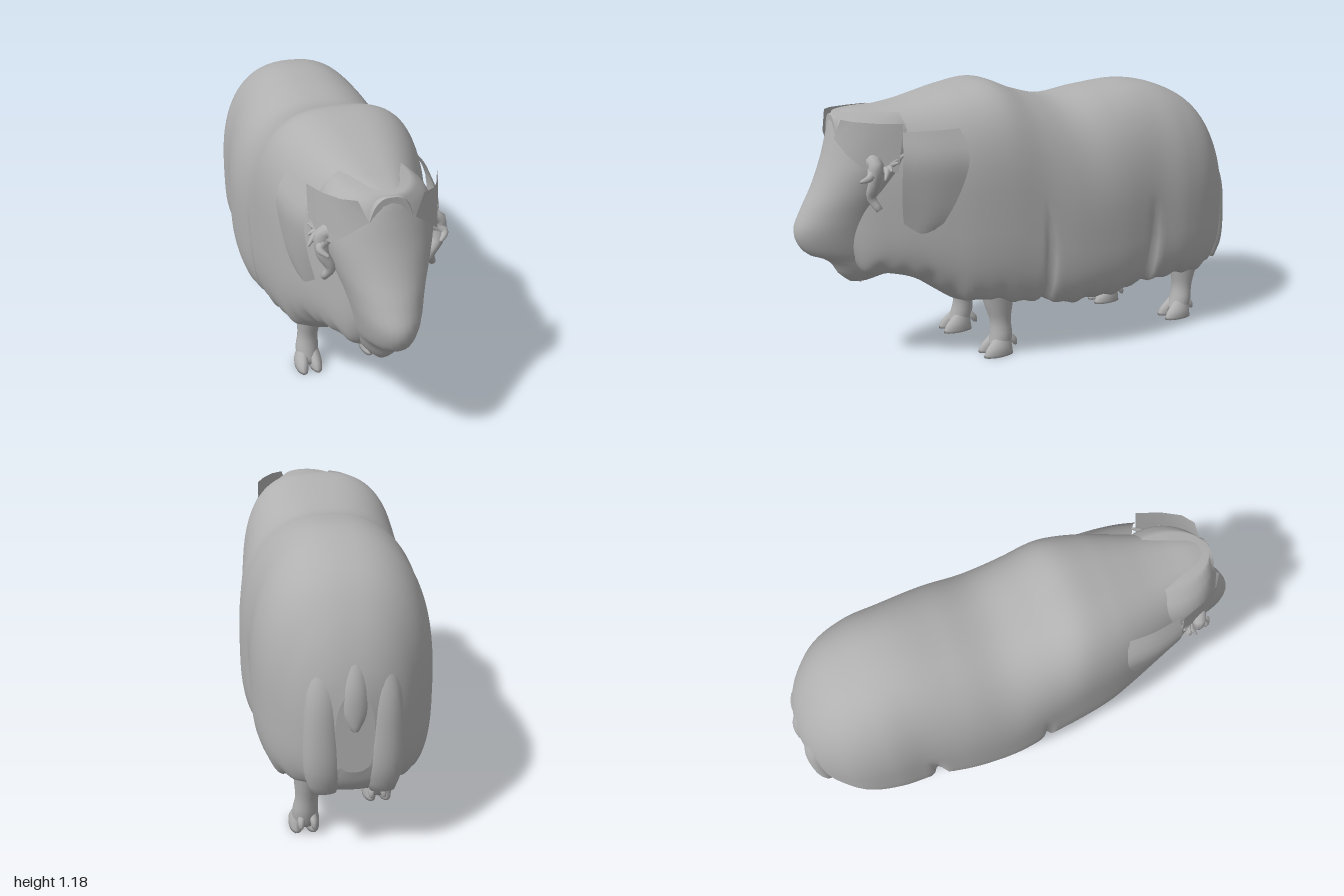
import * as THREE from 'three';

const fur = new THREE.MeshStandardMaterial({ color: 0xb0b0b0, side: THREE.DoubleSide });
fur.name = 'grey fur';
const smooth = THREE.MathUtils.smoothstep;

// Skin a list of rings (arrays of [x,y,z]); closed rings get caps, open ones form a sheet.
function loft(name, rings, closed = true) {
  const n = rings[0].length, pos = rings.flat(2), idx = [];
  for (let i = 0; i < rings.length - 1; i++) {
    for (let j = 0; j < (closed ? n : n - 1); j++) {
      const k = (j + 1) % n, a = i * n + j, b = i * n + k, c = a + n, d = b + n;
      idx.push(a, b, d, a, d, c);
    }
  }
  if (closed) {
    [0, rings.length - 1].forEach((r, side) => {
      const mid = [0, 1, 2].map(q => rings[r].reduce((s, p) => s + p[q], 0) / n);
      const m = pos.length / 3;
      pos.push(...mid);
      for (let j = 0; j < n; j++) {
        const a = r * n + j, b = r * n + (j + 1) % n;
        side ? idx.push(a, b, m) : idx.push(b, a, m);
      }
    });
    // turn the faces outward when the solid comes out inside out
    const P = i => new THREE.Vector3().fromArray(pos, i * 3);
    const o = P(0);
    let volume = 0;
    for (let i = 0; i < idx.length; i += 3) {
      const [a, b, c] = [0, 1, 2].map(q => P(idx[i + q]).sub(o));
      volume += a.dot(b.cross(c));
    }
    if (volume < 0) idx.reverse();
  }
  const g = new THREE.BufferGeometry();
  g.setAttribute('position', new THREE.Float32BufferAttribute(pos, 3));
  g.setIndex(idx);
  g.computeVertexNormals();
  const mesh = new THREE.Mesh(g, fur);
  mesh.name = name;
  return mesh;
}

// Smoothly resample rows whose first number is the ordered key.
function sampler(rows) {
  const size = rows[0].length - 1;
  const it = new THREE.CubicInterpolant(rows.map(r => r[0]), rows.flatMap(r => r.slice(1)), size, new Float32Array(size));
  return t => Array.from(it.evaluate(t));
}

// Solid made of level ellipses; rows are [y, centreX, centreZ, radiusX, radiusZ], y rising.
function slices(name, rows, steps = 16, sides = 20) {
  const at = sampler(rows), y0 = rows[0][0], y1 = rows.at(-1)[0], rings = [];
  for (let i = 0; i <= steps; i++) {
    const y = y0 + (y1 - y0) * i / steps, [cx, cz, rx, rz] = at(y), ring = [];
    for (let j = 0; j < sides; j++) {
      const a = j / sides * Math.PI * 2;
      ring.push([cx + rx * Math.cos(a), y, cz + rz * Math.sin(a)]);
    }
    rings.push(ring);
  }
  return loft(name, rings);
}

// Tapered tube along a curve; each point is [x,y,z].
function horn(name, pts, r0, r1) {
  const curve = new THREE.CatmullRomCurve3(pts.map(p => new THREE.Vector3(...p)));
  const N = 14, f = curve.computeFrenetFrames(N), rings = [];
  for (let i = 0; i <= N; i++) {
    const c = curve.getPointAt(i / N), r = r0 + (r1 - r0) * i / N, ring = [];
    for (let j = 0; j < 10; j++) {
      const a = j / 10 * Math.PI * 2;
      ring.push(c.clone().addScaledVector(f.normals[i], r * Math.cos(a))
        .addScaledVector(f.binormals[i], r * Math.sin(a)).toArray());
    }
    rings.push(ring);
  }
  return loft(name, rings);
}

// Shaggy trunk: [z, top, bottom, half width]
function body() {
  const at = sampler([
    [-0.985, 0.66, 0.36, 0.07], [-0.97, 0.73, 0.31, 0.13], [-0.94, 0.82, 0.265, 0.185], [-0.88, 0.93, 0.235, 0.245],
    [-0.8, 1.02, 0.215, 0.3], [-0.65, 1.1, 0.208, 0.34], [-0.5, 1.13, 0.205, 0.345], [-0.3, 1.115, 0.185, 0.37],
    [-0.1, 1.09, 0.18, 0.37], [0.05, 1.125, 0.195, 0.352], [0.2, 1.18, 0.215, 0.338], [0.35, 1.163, 0.25, 0.31],
    [0.45, 1.14, 0.32, 0.28], [0.55, 1.117, 0.39, 0.245], [0.65, 1.103, 0.42, 0.205], [0.75, 1.095, 0.43, 0.155],
    [0.83, 1.08, 0.55, 0.095]]);
  const N = 130, M = 80, rings = [];
  for (let i = 0; i <= N; i++) {
    const z = -0.0775 - 0.9075 * Math.cos(Math.PI * i / N), [top, bot, hw] = at(z);
    const front = smooth(z, -0.2, 0.2), ring = [];
    const mid = bot + (0.42 + 0.1 * front * (1 - smooth(z, 0.3, 0.6))) * (top - bot);
    // deep partings between the hair skirts
    const part = Math.exp(-(((z + 0.475) / 0.02) ** 2)) + 0.7 * Math.exp(-(((z - 0.03) / 0.014) ** 2));
    // hollow belly, deepest under the rump
    const hollow = (0.16 - 0.05 * smooth(z, -0.5, -0.35)) * smooth(z, -0.95, -0.78) * (1 - smooth(z, 0.22, 0.42));
    const upper = 2.4 + 0.4 * front, lower = 2.6 + smooth(z, -0.97, -0.85);
    for (let j = 0; j < M; j++) {
      const a = j / M * Math.PI * 2, c = Math.cos(a), s = Math.sin(a), p = 2 / (s > 0 ? upper : lower);
      const h = Math.sign(s) * Math.abs(s) ** p, u = Math.abs(c) ** p;
      let x = hw * Math.sign(c) * u;
      let y = mid + (s > 0 ? top - mid : mid - bot) * h;
      if (s < 0) {
        y += hollow * Math.max(0, 1 - (u / 0.8) ** 2);
        y += 0.012 * smooth(u, 0.6, 0.8) * smooth(-h, 0.6, 0.85) * Math.sin(z * 47) * Math.sin(z * 19 + 1);
      }
      x *= 1 - 0.13 * part * (1 - smooth(y, 0.35, 0.68));
      ring.push([x, y, z]);
    }
    rings.push(ring);
  }
  return loft('shaggyBody', rings);
}

// Leg with a cloven foot; lean shifts the top relative to the foot.
function leg(name, x, z, lean) {
  const g = new THREE.Group();
  g.name = name;
  const s = Math.sign(x);
  g.add(slices('shank', [
    [0.03, x + s * 0.008, z, 0.042, 0.05], [0.08, x + s * 0.006, z - 0.012 + lean * 0.2, 0.05, 0.05],
    [0.15, x, z - 0.02 + lean * 0.55, 0.044, 0.046], [0.22, x - s * 0.004, z - 0.02 + lean * 0.85, 0.052, 0.062],
    [0.3, x - s * 0.006, z - 0.02 + lean, 0.06, 0.08], [0.45, x - s * 0.01, z - 0.02 + lean, 0.07, 0.1]]));
  for (const k of [-1, 1]) {
    g.add(slices('toe', [
      [0.005, x + s * 0.008 + k * 0.031, z + 0.018, 0.027, 0.068], [0.035, x + s * 0.008 + k * 0.03, z + 0.014, 0.029, 0.06],
      [0.07, x + s * 0.006 + k * 0.024, z, 0.026, 0.042], [0.1, x + s * 0.004 + k * 0.02, z - 0.01, 0.018, 0.024]], 8, 14));
    g.add(slices('dewclaw', [
      [0.035, x + k * 0.025, z - 0.068, 0.008, 0.008], [0.06, x + k * 0.024, z - 0.058, 0.014, 0.018],
      [0.09, x + k * 0.02, z - 0.04, 0.012, 0.012]], 6, 8));
  }
  return g;
}

// Horn boss, curled horn, ear and mane flap of one side
function headSide(s) {
  const g = new THREE.Group();
  g.name = s > 0 ? 'leftHeadSide' : 'rightHeadSide';
  const m = rows => rows.map(r => r.map(([x, y, z]) => [s * x, y, z]));
  g.add(loft('hornBoss', m([
    [[0.085, 1.0, 0.84], [0.12, 1.078, 0.82]],
    [[0.15, 0.95, 0.815], [0.17, 1.075, 0.785]],
    [[0.2, 0.9, 0.765], [0.215, 1.07, 0.71]],
    [[0.245, 0.88, 0.64], [0.248, 1.066, 0.615]]]), false));
  // hanging mane flap behind the cheek, tucked into the shoulder at its top
  const at = sampler([[0.53, 0.2, 0.55, 0.19, 0.58], [0.65, 0.268, 0.48, 0.215, 0.615],
    [0.8, 0.3, 0.405, 0.25, 0.63], [0.93, 0.302, 0.37, 0.26, 0.625], [1.03, 0.25, 0.38, 0.225, 0.61]]);
  const rows = [];
  for (let i = 0; i <= 14; i++) {
    const y = 0.53 + 0.5 * i / 14, [xb, zb, xf, zf] = at(y), row = [];
    for (let j = 0; j <= 6; j++) {
      const t = j / 6;
      row.push([xb + (xf - xb) * t + 0.012 * Math.sin(Math.PI * t), y, zb + (zf - zb) * t]);
    }
    rows.push(row);
  }
  g.add(loft('maneFlap', m(rows), false));
  const c = pts => pts.map(([x, y, z]) => [s * x, y, z]);
  g.add(horn('horn', c([[0.17, 0.92, 0.73], [0.215, 0.92, 0.72], [0.22, 0.84, 0.73], [0.19, 0.78, 0.735], [0.21, 0.73, 0.71]]), 0.034, 0.014));
  g.add(horn('hornTip', c([[0.2, 0.9, 0.72], [0.235, 0.87, 0.75], [0.21, 0.85, 0.78]]), 0.026, 0.006));
  // small tufted ear
  for (let i = 0; i < 4; i++) {
    g.add(horn('earTuft', c([[0.19, 0.89, 0.69], [0.23, 0.89 + 0.01 * i, 0.68 - 0.01 * i],
      [0.265 - 0.008 * i, 0.86 + 0.03 * i, 0.7 - 0.03 * i]]), 0.024, 0.004));
  }
  // strands hanging below the mane
  for (let i = 0; i < 4; i++) {
    const z = 0.6 - 0.06 * i, x = 0.18 + 0.025 * i;
    g.add(horn('maneStrand', c([[x, 0.66, z], [x + 0.012, 0.55, z - 0.02], [x - 0.02, 0.42 - 0.02 * i, z - 0.04]]), 0.034, 0.004));
  }
  return g;
}

export function createModel() {
  const model = new THREE.Group();
  model.name = 'longHairedOx';
  model.add(body());

  // Long face with a sloping nose and a bearded jaw
  model.add(slices('head', [
    [0.385, 0, 0.74, 0.03, 0.05], [0.42, 0, 0.7, 0.07, 0.13], [0.47, 0, 0.69, 0.1, 0.17], [0.5, 0, 0.69, 0.105, 0.205],
    [0.52, 0, 0.71, 0.108, 0.235], [0.57, 0, 0.73, 0.118, 0.258], [0.63, 0, 0.74, 0.13, 0.26], [0.7, 0, 0.72, 0.15, 0.25],
    [0.8, 0, 0.69, 0.185, 0.225], [0.9, 0, 0.66, 0.21, 0.213], [1.0, 0, 0.64, 0.2, 0.205], [1.05, 0, 0.63, 0.17, 0.203],
    [1.088, 0, 0.62, 0.12, 0.2]], 36, 36));
  for (const s of [-1, 1]) model.add(headSide(s));
  for (let i = -1; i <= 1; i++) {
    model.add(horn('beardStrand', [[i * 0.05, 0.48, 0.76], [i * 0.045, 0.43, 0.76], [i * 0.03, 0.385, 0.75]], 0.03, 0.005));
  }

  // Tail between two hair curtains
  model.add(slices('tail', [[0.52, 0, -0.985, 0.012, 0.01], [0.58, 0, -0.97, 0.045, 0.03], [0.68, 0, -0.95, 0.05, 0.042],
    [0.78, 0, -0.905, 0.04, 0.045], [0.86, 0, -0.86, 0.02, 0.02]]));
  for (const s of [-1, 1]) {
    model.add(slices('rumpCurtain', [[0.265, s * 0.105, -0.945, 0.045, 0.02], [0.34, s * 0.107, -0.945, 0.068, 0.045],
      [0.5, s * 0.11, -0.94, 0.07, 0.055], [0.65, s * 0.108, -0.93, 0.06, 0.048], [0.8, s * 0.1, -0.89, 0.035, 0.03]]));
  }

  model.add(leg('rightFrontLeg', -0.15, 0.245, 0));
  model.add(leg('leftFrontLeg', 0.15, 0.185, 0.02));
  model.add(leg('rightHindLeg', -0.15, -0.545, -0.09));
  model.add(leg('leftHindLeg', 0.15, -0.745, -0.01));
  return model;
}
